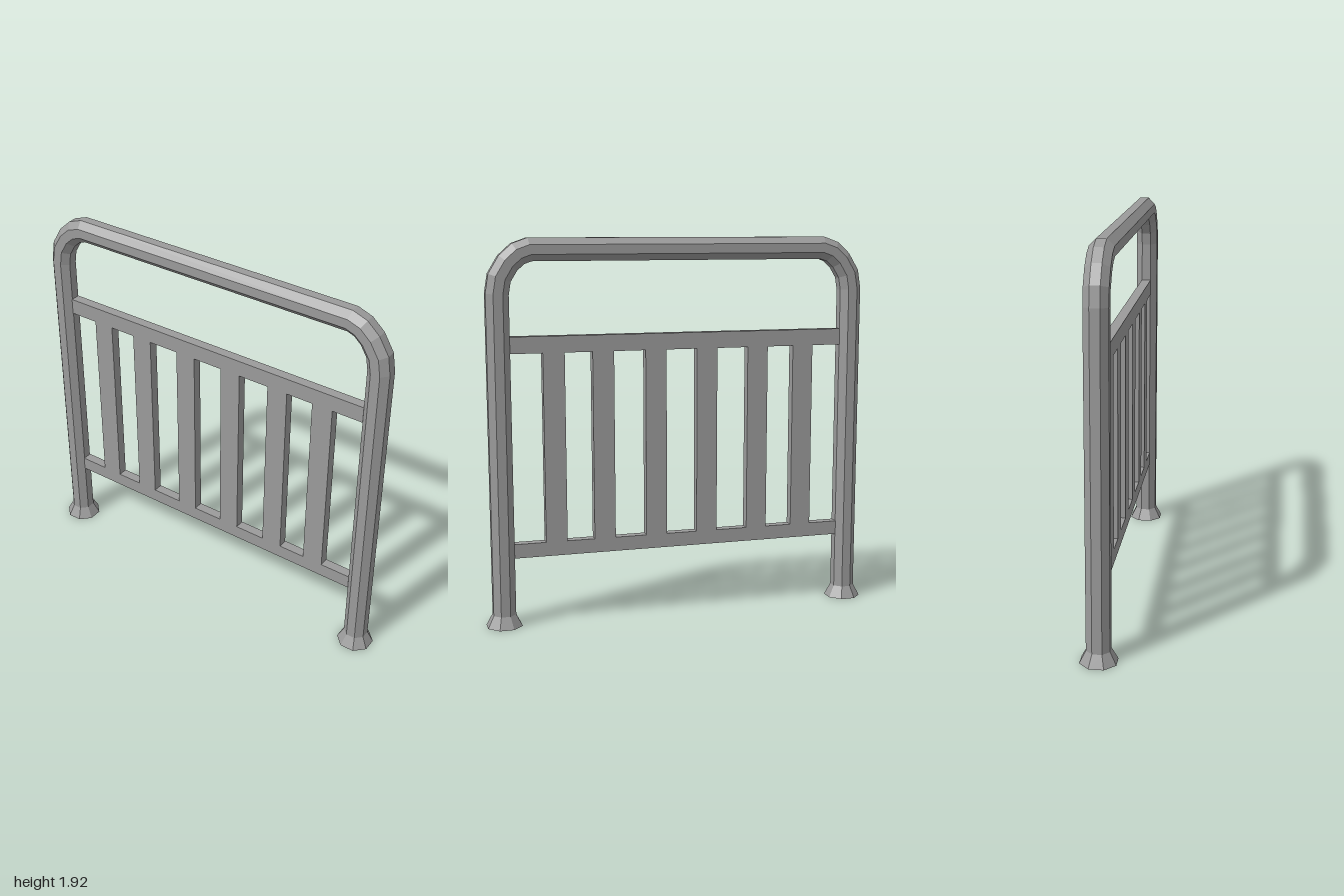
import * as THREE from 'three';

const SIDES = 8;
const POST_X = 0.914;
const TUBE_R = 0.056; // centre to flat
const FOOT_R = 0.086;
const FOOT_H = 0.06;
const CORNER = Math.cos(Math.PI / SIDES);

// Sweeps an octagon along a path in the xy plane, mitred at every bend
function sweep(path) {
  const positions = [];
  const index = [];
  path.forEach((p, i) => {
    const inDir = p.clone().sub(path[Math.max(i - 1, 0)]).normalize();
    const outDir = path[Math.min(i + 1, path.length - 1)].clone().sub(p).normalize();
    const t = inDir.clone().add(outDir).normalize();
    const mitre = 1 / t.dot(outDir.lengthSq() ? outDir : inDir);
    for (let j = 0; j < SIDES; j++) {
      const a = ((j + 0.5) / SIDES) * Math.PI * 2;
      const n = (Math.cos(a) * TUBE_R * mitre) / CORNER;
      positions.push(p.x - t.y * n, p.y + t.x * n, (Math.sin(a) * TUBE_R) / CORNER);
      if (i < path.length - 1) {
        const a0 = i * SIDES + j;
        const b0 = i * SIDES + ((j + 1) % SIDES);
        index.push(a0, b0, b0 + SIDES, a0, b0 + SIDES, a0 + SIDES);
      }
    }
  });
  const g = new THREE.BufferGeometry();
  g.setAttribute('position', new THREE.Float32BufferAttribute(positions, 3));
  g.setIndex(index);
  g.computeVertexNormals();
  return g;
}

export function createModel() {
  const group = new THREE.Group();
  group.name = 'railing';
  const material = new THREE.MeshStandardMaterial({
    color: 0x9b9b9b, flatShading: true, side: THREE.DoubleSide,
  });
  const add = (name, geometry, x = 0, y = 0) => {
    const mesh = new THREE.Mesh(geometry, material);
    mesh.name = name;
    mesh.position.set(x, y, 0);
    group.add(mesh);
  };

  // Bent tube: two posts joined by the top bar
  const half = [
    [-POST_X, FOOT_H], [-POST_X, 1.65], [-0.901, 1.728],
    [-0.859, 1.797], [-0.81, 1.841], [-0.754, 1.861],
  ].map(([x, y]) => new THREE.Vector2(x, y));
  const mirrored = half.map((p) => new THREE.Vector2(-p.x, p.y)).reverse();
  add('tubeFrame', sweep([...half, ...mirrored]));

  // Flared feet, open underneath
  for (const side of [-1, 1]) {
    const foot = new THREE.CylinderGeometry(
      TUBE_R / CORNER, FOOT_R / CORNER, FOOT_H, SIDES, 1, true);
    foot.rotateY(Math.PI / SIDES);
    add(side > 0 ? 'leftFoot' : 'rightFoot', foot, side * POST_X, FOOT_H / 2);
  }

  // Two rails between the posts
  const depth = 0.05;
  const rail = (name, y0, y1) =>
    add(name, new THREE.BoxGeometry(1.718, y1 - y0, depth), 0, (y0 + y1) / 2);
  rail('lowerRail', 0.347, 0.418);
  rail('upperRail', 1.363, 1.445);

  // Six upright slats, slightly unevenly spaced
  for (const x of [-0.654, -0.408, -0.137, 0.13, 0.399, 0.646]) {
    add('slat', new THREE.BoxGeometry(0.108, 1.363 - 0.418, depth), x, (0.418 + 1.363) / 2);
  }

  return group;
}
